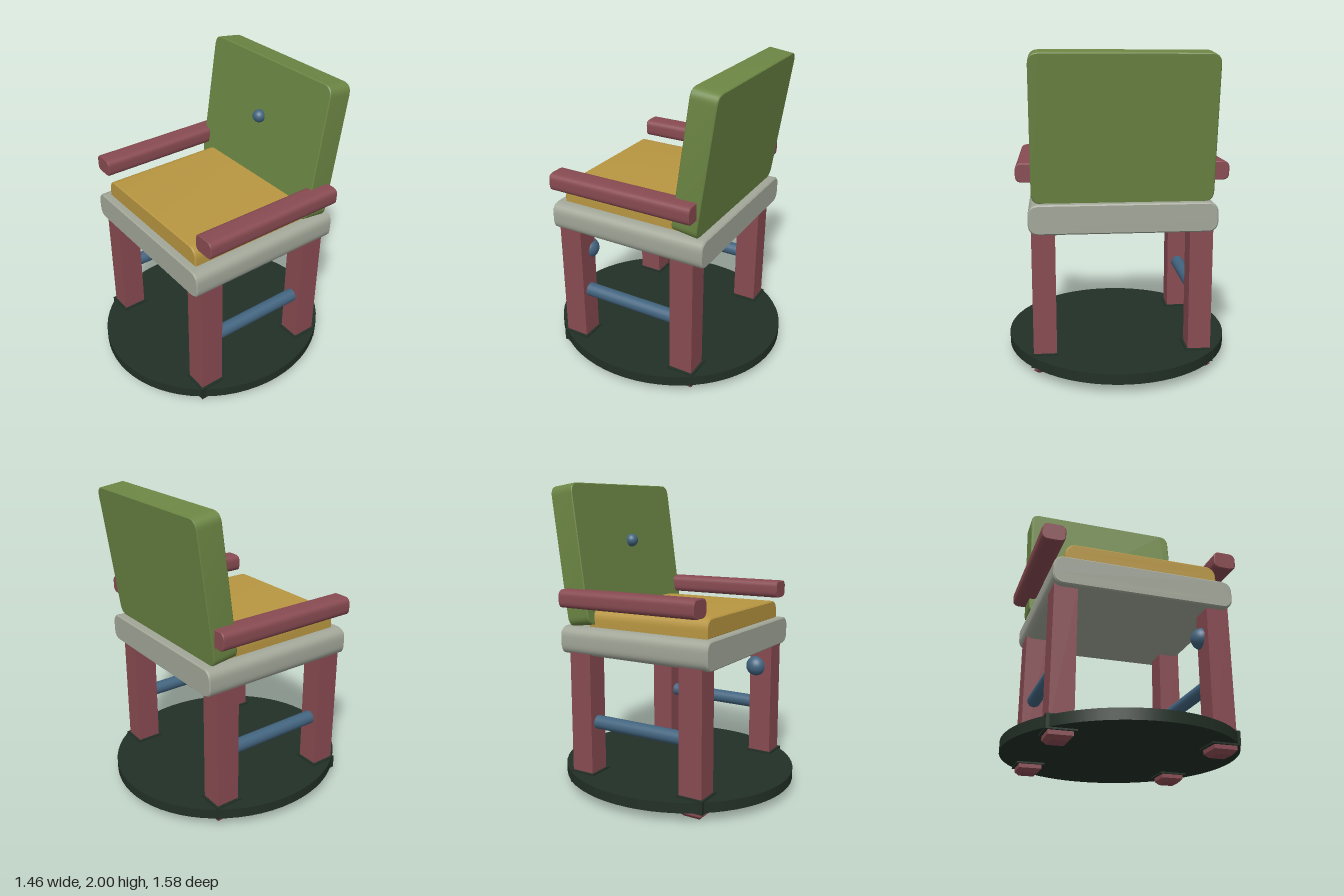
import * as THREE from 'three';
import { toCreasedNormals } from 'three/addons/utils/BufferGeometryUtils.js';

const material = (name, color) => {
  const m = new THREE.MeshStandardMaterial({ color });
  m.name = name;
  return m;
};

// Rectangle outline with separate radii for the bottom and top corners
function roundedRect(w, h, rBottom, rTop) {
  const x = w / 2, y = h / 2, b = rBottom, t = rTop;
  const s = new THREE.Shape();
  s.moveTo(-x + b, -y);
  s.lineTo(x - b, -y);
  if (b) s.quadraticCurveTo(x, -y, x, -y + b);
  s.lineTo(x, y - t);
  if (t) s.quadraticCurveTo(x, y, x - t, y);
  s.lineTo(-x + t, y);
  if (t) s.quadraticCurveTo(-x, y, -x, y - t);
  s.lineTo(-x, -y + b);
  if (b) s.quadraticCurveTo(-x, -y, -x + b, -y);
  return s;
}

// Rounded slab extruded along z with a fine bevel, centred on the origin
function slab(w, h, d, rBottom, rTop, bevel = 0.008) {
  const geo = new THREE.ExtrudeGeometry(
    roundedRect(w - 2 * bevel, h - 2 * bevel, rBottom, rTop),
    {
      depth: d - 2 * bevel, bevelEnabled: true, bevelSize: bevel,
      bevelThickness: bevel, bevelSegments: 1, curveSegments: 6,
    });
  geo.translate(0, 0, -d / 2 + bevel);
  return toCreasedNormals(geo, 0.6);
}

// Square post whose lowest ring is drawn in to form a chamfered foot
function legGeometry(w, h, d, chamfer) {
  const geo = new THREE.BoxGeometry(w, h, d, 1, 2, 1);
  const p = geo.attributes.position;
  for (let i = 0; i < p.count; i++) {
    const y = p.getY(i);
    if (Math.abs(y) < 1e-6) p.setY(i, -h / 2 + chamfer);
    else if (y < 0) {
      p.setX(i, p.getX(i) - Math.sign(p.getX(i)) * chamfer);
      p.setZ(i, p.getZ(i) - Math.sign(p.getZ(i)) * chamfer);
    }
  }
  return toCreasedNormals(geo, 0.4);
}

export function createModel() {
  const model = new THREE.Group();
  model.name = 'armchair';

  const green = material('backrest green', 0x6c8644);
  const yellow = material('cushion yellow', 0xb89641);
  const red = material('frame red', 0x884b52);
  const grey = material('seat grey', 0xa2a799);
  const blue = material('accent blue', 0x42647f);
  const dark = material('base dark green', 0x223026);

  const add = (name, geo, mat, x, y, z) => {
    const mesh = new THREE.Mesh(geo, mat);
    mesh.name = name;
    mesh.position.set(x, y, z);
    model.add(mesh);
    return mesh;
  };

  // Oval base plate
  const plate = new THREE.CylinderGeometry(1, 1, 0.066, 64);
  plate.scale(0.73, 1, 0.792);
  add('basePlate', plate, dark, 0, 0.093, 0);

  // Legs with their collars, side stretchers and armrests
  const leg = legGeometry(0.145, 0.93, 0.158, 0.025);
  const collar = new THREE.BoxGeometry(0.178, 0.086, 0.188);
  const stretcher = new THREE.CylinderGeometry(0.045, 0.045, 0.72, 20);
  stretcher.rotateX(Math.PI / 2);
  const armrest = slab(0.15, 0.115, 0.98, 0.036, 0.036, 0.005);
  for (const [side, sx] of [['left', 1], ['right', -1]]) {
    for (const [end, z] of [['Front', 0.419], ['Back', -0.396]]) {
      add(side + end + 'Leg', leg, red, sx * 0.487, 0.465, z);
      add(side + end + 'Collar', collar, dark, sx * 0.487, 0.093, z);
    }
    add(side + 'Stretcher', stretcher, blue, sx * 0.487, 0.47, 0.011);
    add(side + 'Armrest', armrest, red, sx * 0.57, 1.283, 0);
  }

  // Seat and cushion
  add('seat', slab(1.152, 0.182, 1.08, 0.06, 0.06), grey, 0, 1.005, 0);
  add('cushion', slab(0.99, 0.125, 0.86, 0, 0.065), yellow, 0, 1.153, 0.063);

  // Reclined backrest
  const back = add('backrest', slab(1.11, 0.894, 0.167, 0.06, 0.06, 0.005),
    green, 0, 1.545, -0.463);
  back.rotation.x = -0.137;

  // Round knobs on the backrest and on the left front leg
  add('backrestButton', new THREE.SphereGeometry(0.043, 24, 16), blue, 0, 1.625, -0.377);
  add('legKnob', new THREE.SphereGeometry(0.07, 24, 16), blue, 0.425, 0.75, 0.381);

  return model;
}
